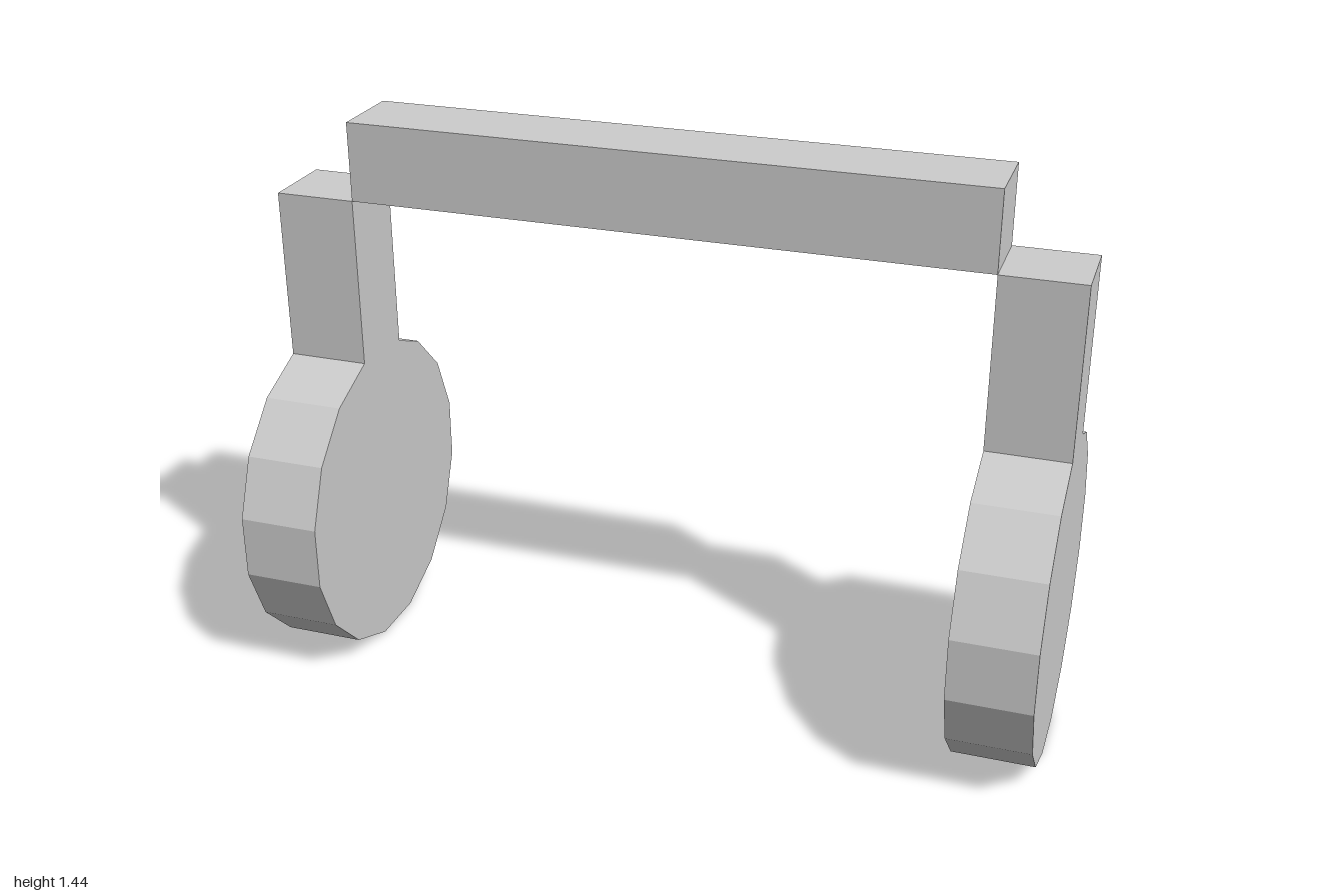
import * as THREE from 'three';

export function createModel() {
  const group = new THREE.Group();
  const lightGrey = new THREE.MeshStandardMaterial({ color: 0xcccccc });
  lightGrey.name = 'lightGrey';

  const radius = 0.41, centreY = 0.402, sides = 16, thickness = 0.205;
  const stemFront = 0.08, stemBack = -0.12, stemTop = 1.24, barHeight = 0.2;

  // Side outline (z, y): a 16-sided disc with an upright stem growing from its top
  const outline = [];
  for (let i = 0; i < sides - 1; i++) {
    const a = Math.PI / 2 - (i + 0.5) * (2 * Math.PI / sides);
    outline.push(new THREE.Vector2(radius * Math.cos(a), centreY + radius * Math.sin(a)));
  }
  outline.push(
    new THREE.Vector2(stemBack, 0.787),
    new THREE.Vector2(stemBack, stemTop),
    new THREE.Vector2(stemFront, stemTop)
  );
  const cupGeometry = new THREE.ExtrudeGeometry(new THREE.Shape(outline), {
    depth: thickness, bevelEnabled: false
  });
  cupGeometry.rotateY(-Math.PI / 2);
  cupGeometry.translate(thickness / 2, 0, 0);

  // One ear cup with its stem on each side
  for (const side of [1, -1]) {
    const cup = new THREE.Mesh(cupGeometry, lightGrey);
    cup.name = side > 0 ? 'leftEarCup' : 'rightEarCup';
    cup.position.x = side * (1 - thickness / 2);
    group.add(cup);
  }

  // Straight headband resting between the stem tops
  const headband = new THREE.Mesh(
    new THREE.BoxGeometry(2 * (1 - thickness), barHeight, stemFront - stemBack), lightGrey
  );
  headband.name = 'headband';
  headband.position.set(0, stemTop + barHeight / 2, (stemFront + stemBack) / 2);
  group.add(headband);

  return group;
}
